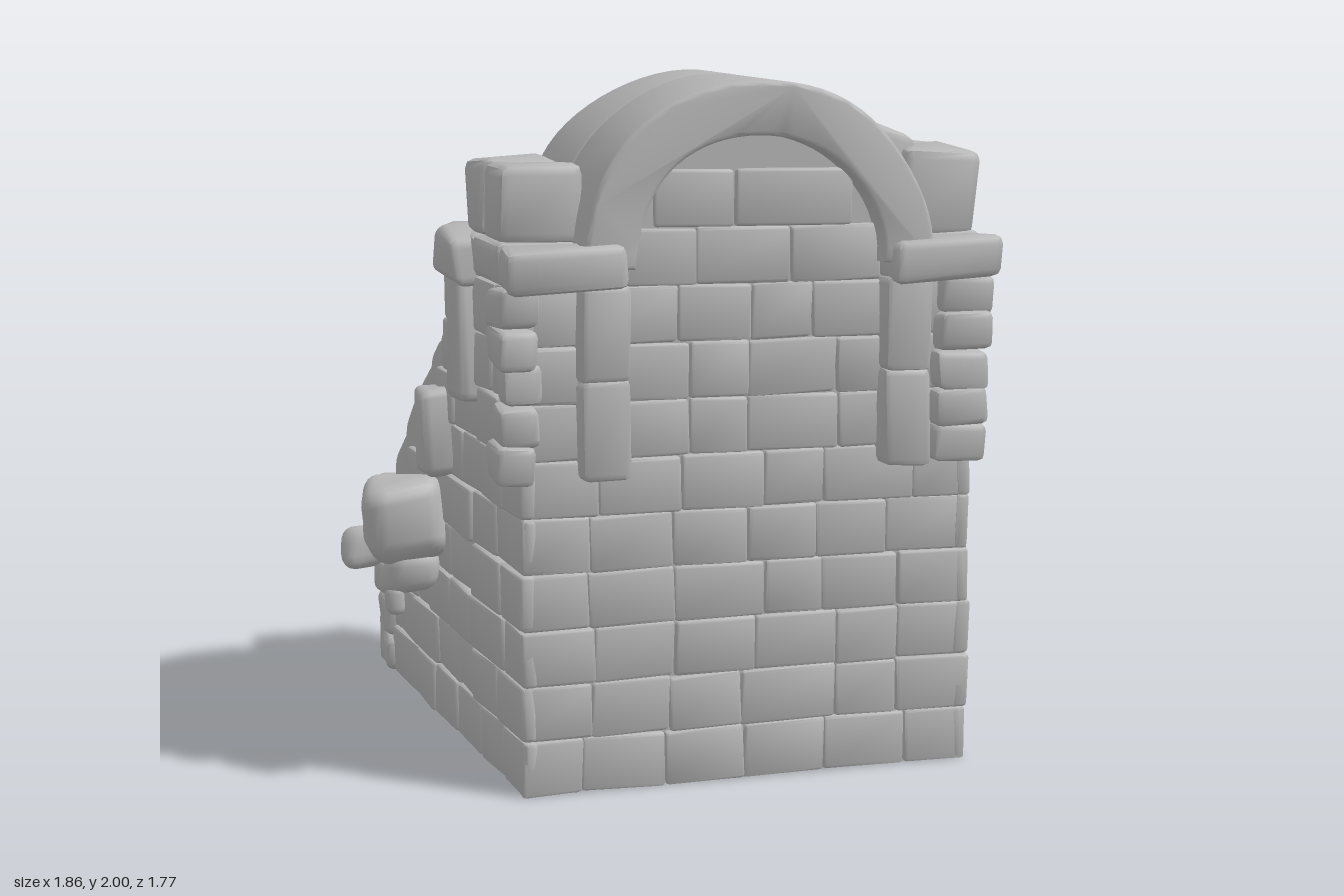
import * as THREE from 'three';
import { mergeVertices, toCreasedNormals } from 'three/addons/utils/BufferGeometryUtils.js';
import { RoundedBoxGeometry } from 'three/addons/geometries/RoundedBoxGeometry.js';

const stoneGrey = new THREE.MeshStandardMaterial({ color: 0xb6b6b6 });
stoneGrey.name = 'stone grey';

// seeded random numbers
let seed = 7;
const rand = () => {
  seed = (seed * 16807) % 2147483647;
  return seed / 2147483647;
};
const spread = (a) => (rand() * 2 - 1) * a;

// the plan widens towards the stairs: outer and inner faces of the two side walls
const outL = (z) => -0.685 + 0.1 * z;
const outR = (z) => 0.81 - 0.12 * z;
const inL = (z) => -0.38 + 0.06 * Math.min(z, 0);
const inR = (z) => 0.48 - 0.11 * Math.min(z, 0);
const railY = (z) => 1.17 - 0.87 * Math.max(0, -z);

// move vertices by a rule, then rebuild smooth normals with sharp edges
function reshape(geo, rule) {
  geo.deleteAttribute('normal');
  geo.deleteAttribute('uv');
  geo = mergeVertices(geo, 1e-4);
  const p = geo.attributes.position, v = new THREE.Vector3();
  for (let i = 0; i < p.count; i++) {
    rule(v.fromBufferAttribute(p, i));
    p.setXYZ(i, v.x, v.y, v.z);
  }
  return toCreasedNormals(geo, 0.8);
}

export function createModel() {
  const model = new THREE.Group();

  const add = (name, geo, parent = model) => {
    const m = new THREE.Mesh(geo, stoneGrey);
    m.name = name;
    parent.add(m);
    return m;
  };
  const group = (name) => {
    const g = new THREE.Group();
    g.name = name;
    model.add(g);
    return g;
  };

  // one worn stone block between two corners
  function stone(name, [x0, x1], [y0, y1], [z0, z1], { wear = 0.012, r = 0.02, seg = 1, map, parent } = {}) {
    const w = x1 - x0, h = y1 - y0, d = z1 - z0;
    const radius = Math.min(r, Math.min(w, h, d) * 0.45);
    const ph = rand() * 20;
    const geo = reshape(new RoundedBoxGeometry(w, h, d, seg, radius), (v) => {
      const { x, y, z } = v;
      v.x += wear * Math.sin(13 * y + 17 * z + ph) + (x0 + x1) / 2;
      v.y += wear * Math.sin(15 * z + 11 * x + ph * 2) + (y0 + y1) / 2;
      v.z += wear * Math.sin(12 * x + 16 * y + ph * 3) + (z0 + z1) / 2;
      if (y0 === 0) v.y = Math.max(0, v.y);
      if (map) map(v);
    });
    return add(name, geo, parent);
  }

  // split a span into uneven lengths and visit each
  function course(a, b, size, visit) {
    const n = Math.max(1, Math.round((b - a) / size));
    let prev = a;
    for (let i = 1; i <= n; i++) {
      const next = i === n ? b : a + ((b - a) * (i + spread(0.22))) / n;
      visit(prev, next, i);
      prev = next;
    }
  }

  // tower base under the niche floor
  add('towerBase', new THREE.BoxGeometry(1.32, 0.95, 0.7).translate(0.06, 0.475, 0.4));

  // niche walls with an arched opening
  const cx = 0.06, cy = 1.49;
  const niche = new THREE.Shape();
  niche.moveTo(-0.6, 0.9).lineTo(-0.31, 0.9).lineTo(-0.31, cy);
  niche.absarc(cx, cy, 0.37, Math.PI, 0, true);
  niche.lineTo(0.43, 0.9).lineTo(0.72, 0.9).lineTo(0.72, cy).lineTo(0.54, cy);
  niche.absarc(cx, cy, 0.48, 0, Math.PI, false);
  niche.lineTo(-0.6, cy).lineTo(-0.6, 0.9);
  add('nicheWalls', new THREE.ExtrudeGeometry(niche, { depth: 0.56, bevelEnabled: false, curveSegments: 20 }).translate(0, 0, 0.06));

  // closed front of the niche
  const infill = new THREE.Shape();
  infill.moveTo(-0.6, 0.9).lineTo(0.72, 0.9).lineTo(0.72, cy).lineTo(0.46, cy);
  infill.absarc(cx, cy, 0.4, 0, Math.PI, false);
  infill.lineTo(-0.6, cy);
  add('nicheFront', new THREE.ExtrudeGeometry(infill, { depth: 0.14, bevelEnabled: false, curveSegments: 20 }).translate(0, 0, 0.61));

  // barrel vault in two lengths
  const ring = new THREE.Shape();
  ring.absarc(cx, cy, 0.495, 0, Math.PI, false);
  ring.absarc(cx, cy, 0.37, Math.PI, 0, true);
  for (const [z0, z1] of [[0.04, 0.425], [0.425, 0.83]]) {
    const geo = new THREE.ExtrudeGeometry(ring, {
      depth: z1 - z0 - 0.03, bevelThickness: 0.015, bevelSize: 0.012, bevelSegments: 2, curveSegments: 18,
    });
    add('archVault', reshape(geo, (v) => {
      v.z += z0 + 0.015;
      v.y += 0.006 * Math.sin(9 * v.x + 5 * v.z);
      v.x += 0.006 * Math.sin(13 * v.y);
    }));
  }

  // solid side walls: tower flank, sloping rail and newel foot
  for (const [name, xa, xb, lift] of [['rightWall', outL, inL, 0.05], ['leftWall', inR, outR, 0]]) {
    const s = new THREE.Shape();
    [[-0.75, 0], [0.77, 0], [0.77, 0.58], [0.6, 0.62 + lift], [0, 1.14 + lift], [-0.05, 1.17 + lift], [-0.05, 1.43], [-0.75, 1.43]]
      .forEach(([u, y], i) => (i ? s.lineTo(u, y) : s.moveTo(u, y)));
    const geo = new THREE.ExtrudeGeometry(s, { depth: 1, bevelEnabled: false }).rotateY(Math.PI / 2);
    add(name, reshape(geo, (v) => {
      const inset = 0.02;
      v.x = name === 'rightWall'
        ? THREE.MathUtils.lerp(xa(v.z) + inset, xb(v.z), v.x)
        : THREE.MathUtils.lerp(xa(v.z), xb(v.z) - inset, v.x);
    }));
  }

  // brick facing on front and flanks
  const frontBricks = group('frontBricks'), flankBricks = group('flankBricks');
  const rowH = 1.43 / 9;
  for (let r = 0; r < 11; r++) {
    const y0 = r * rowH, y1 = y0 + rowH;
    const half = r < 9 ? 0 : Math.sqrt(0.385 ** 2 - (y1 - cy) ** 2);
    course(r < 9 ? -0.61 : cx - half, r < 9 ? 0.72 : cx + half, 0.23, (a, b) => {
      const out = spread(0.005);
      stone('brick', [a, b], [y0, y1], [0.7, 0.767 + out], { wear: 0.003, r: 0.01, parent: frontBricks });
    });
    if (r > 8) continue;
    const back = y1 < 0.6 ? -0.77 : y1 < 1.16 ? -(1.17 - y1) / 0.87 + 0.02 : 0.05;
    for (const side of [-1, 1]) {
      course(back, 0.77, 0.22, (a, b) => {
        const out = spread(0.008);
        stone('brick', [-0.04, 0.004 + out], [y0, y1], [a, b], {
          wear: 0.003, r: 0.012, parent: flankBricks,
          map: (v) => { v.x = side < 0 ? outL(v.z) - v.x : outR(v.z) + v.x; },
        }).geometry;
      });
    }
  }
  // the mirrored flank needs its corners turned round
  flankBricks.children.forEach((m) => {
    m.geometry.computeBoundingBox();
    if (m.geometry.boundingBox.max.x > 0) return;
    const p = m.geometry.attributes.position, a = new THREE.Vector3(), b = new THREE.Vector3();
    for (let i = 0; i < p.count; i += 3) {
      a.fromBufferAttribute(p, i + 1);
      b.fromBufferAttribute(p, i + 2);
      p.setXYZ(i + 1, b.x, b.y, b.z);
      p.setXYZ(i + 2, a.x, a.y, a.z);
    }
    m.geometry.deleteAttribute('normal');
    m.geometry = toCreasedNormals(mergeVertices(m.geometry), 0.8);
  });

  // cornice, front legs of the arch and corner quoins
  const corners = [[[-0.66, -0.32], [-0.45, -0.31], [-0.67, -0.56]], [[0.44, 0.76], [0.43, 0.57], [0.6, 0.76]]];
  for (const [cornice, leg, quoin] of corners) {
    for (const z of [[0.7, 0.87], [0.4, 0.71], [0.13, 0.41], [-0.02, 0.14]])
      stone('cornice', cornice, [1.43, 1.55], z, { wear: 0.007, r: 0.025 });
    for (const y of [[0.9, 1.18], [1.17, 1.44]])
      stone('archLeg', leg, y, [0.68, 0.835], { wear: 0.005 });
    for (let i = 0; i < 5; i++) {
      const y = [0.9 + i * 0.107, 1.01 + i * 0.107], w = spread(0.015);
      stone('frontQuoin', [quoin[0] - w, quoin[1] - w], y, [0.66, 0.82 + w], { wear: 0.006 });
      if (i > 1) stone('backPier', cornice, y, [0.02 + w, 0.16], { wear: 0.01 });
    }
  }

  // shoulder blocks beside the vault
  stone('rightShoulder', [-0.64, -0.4], [1.54, 1.76], [0.16, 0.43], { wear: 0.008, r: 0.03 });
  stone('rightShoulder', [-0.64, -0.4], [1.54, 1.76], [0.42, 0.68], { wear: 0.008, r: 0.03 });
  stone('leftShoulder', [0.52, 0.76], [1.54, 1.79], [0.15, 0.43], { wear: 0.008, r: 0.03 });
  stone('leftShoulder', [0.52, 0.76], [1.54, 1.79], [0.42, 0.7], { wear: 0.008, r: 0.03 });
  stone('leftVaultBlock', [0.36, 0.58], [1.6, 1.9], [0.17, 0.67], {
    wear: 0.006, r: 0.03, map: (v) => { v.y -= Math.max(0, v.x - 0.38) * 0.4; },
  });

  // stairs, each tread laid from a few worn stones
  const stairs = group('stairs');
  [-0.64, -0.48, -0.31, -0.13, 0.03].forEach((z, i) => {
    const h = 0.19 * (i + 1);
    add('stepCore', new THREE.BoxGeometry(0.96, h - 0.05, 0.2).translate(0.07, (h - 0.05) / 2, z + 0.13), stairs);
    course(inL(z) - 0.03, inR(z) + 0.03, 0.32, (a, b) => {
      const s = spread(0.012);
      stone('tread', [a, b], [h - 0.1, h + s / 2], [z + s, z + 0.24], { wear: 0.012, r: 0.03, seg: 2, parent: stairs });
      stone('riser', [a, b], [h - 0.19, h - 0.09], [z + 0.02 + s, z + 0.2], { wear: 0.01, r: 0.03, parent: stairs });
    });
  });
  // loose rubble on the steps
  stone('rubble', [-0.31, -0.18], [0.56, 0.65], [-0.39, -0.3], { wear: 0.02, r: 0.04, seg: 2 });
  stone('rubble', [0.07, 0.14], [0.75, 0.79], [-0.08, -0.03], { r: 0.02 });

  // sloping copings on the rails
  for (const [a, b, top] of [[(z) => outL(z) + 0.02, (z) => inL(z) + 0.02, 0.09], [(z) => inR(z) - 0.02, (z) => outR(z) - 0.02, 0.03]]) {
    course(-0.64, 0.06, 0.15, (z0, z1) => {
      const t = top + spread(0.015);
      for (const [u0, u1] of [[0, 0.52], [0.5, 1]])
        stone('coping', [u0, u1], [-0.1, t + spread(0.012)], [z0, z1 + 0.01], {
          wear: 0.012, r: 0.03, seg: 2,
          map: (v) => {
            v.x = THREE.MathUtils.lerp(a(v.z), b(v.z), v.x);
            v.y += railY(v.z);
          },
        });
    });
  }

  // newel posts at the foot of the rails
  for (const [x0, x1, z0] of [[-0.77, -0.42, -0.82], [0.57, 0.9, -0.79]]) {
    for (let i = 0; i < 4; i++) {
      const y = [i * 0.115, (i + 1) * 0.115 + 0.005], xm = (x0 + x1) / 2 + spread(0.07);
      for (const x of [[x0, xm], [xm, x1]])
        stone('newelStone', x, y, [z0 + spread(0.02), -0.58], { wear: 0.01, r: 0.03, seg: 2 });
    }
    stone('newelCap', [x0 - 0.01, x1 + 0.01], [0.45, 0.62], [z0 - 0.01, -0.57], { wear: 0.015, r: 0.03, seg: 2 });
  }
  stone('newelKnob', [-0.57, -0.43], [0.42, 0.61], [-0.88, -0.76], { wear: 0.01, r: 0.05, seg: 2 });

  // bulging stones on the right flank
  stone('flankBoss', [-0.92, -0.66], [0.51, 0.77], [-0.2, 0.03], { wear: 0.015, r: 0.07, seg: 3 });
  stone('flankBoss', [-0.87, -0.7], [0.39, 0.53], [-0.13, -0.02], { wear: 0.015, r: 0.05, seg: 2 });
  stone('flankBoss', [-0.85, -0.79], [0.32, 0.42], [-0.11, -0.04], { wear: 0.01, r: 0.03, seg: 2 });
  stone('newelBoss', [-0.9, -0.74], [0.36, 0.5], [-0.7, -0.59], { wear: 0.015, r: 0.05, seg: 2 });
  stone('flankBlock', [-0.76, -0.6], [0.79, 1.06], [-0.08, 0.1], { r: 0.03, seg: 2 });
  stone('flankBlock', [-0.7, -0.58], [1.05, 1.44], [0.12, 0.38], { r: 0.03, seg: 2 });
  stone('flankBlock', [-0.72, -0.58], [1.41, 1.55], [0.11, 0.4], { r: 0.03, seg: 2 });

  return model;
}
